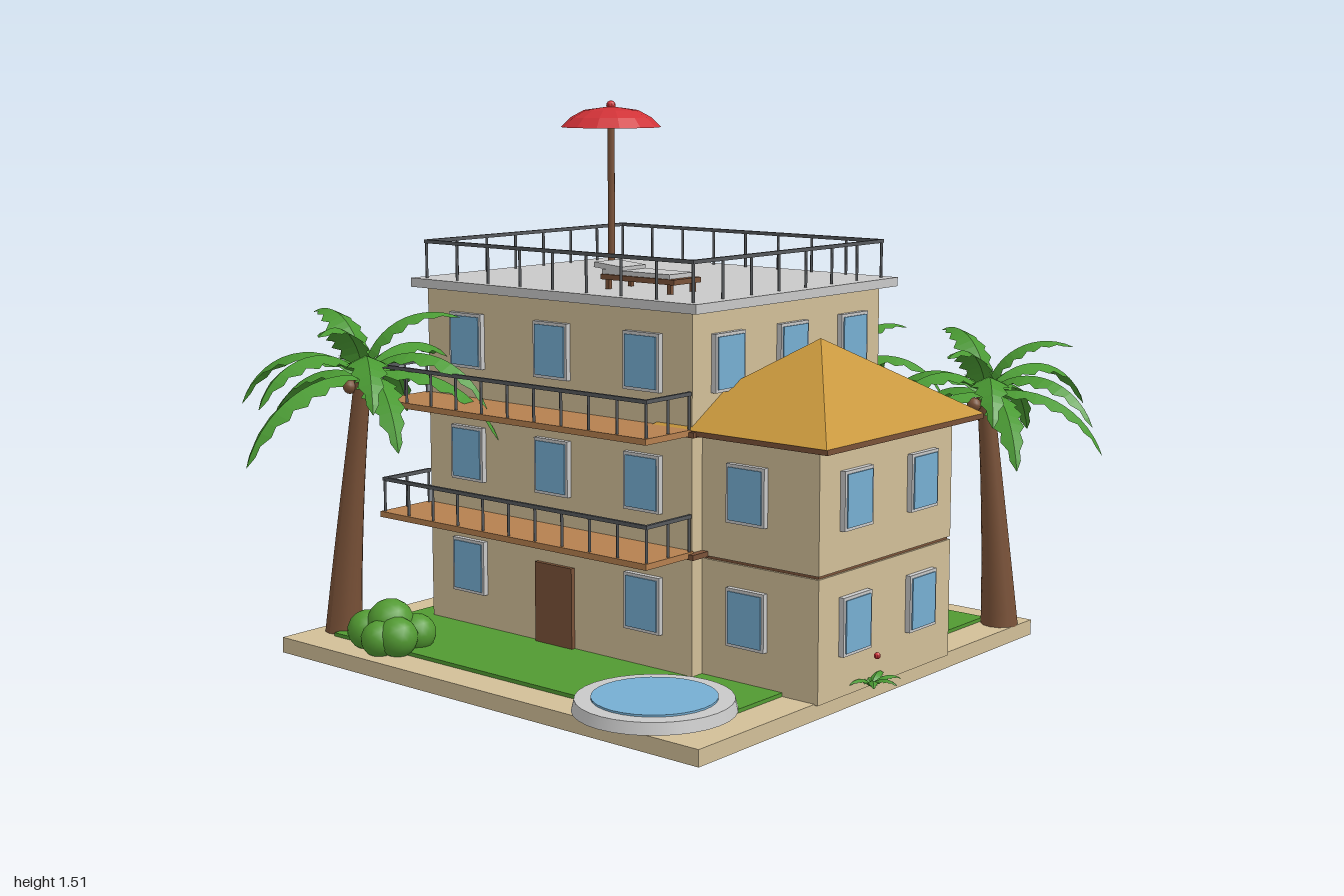
import * as THREE from 'three';

const mat = (name, color, extra = {}) => {
  const m = new THREE.MeshStandardMaterial({ color, ...extra });
  m.name = name;
  return m;
};

export function createModel() {
  const root = new THREE.Group();
  root.name = 'seasideHouse';
  const M = {
    sand: mat('sandWall', 0xd2bf98),
    grey: mat('paleConcrete', 0xc8c8c8),
    gold: mat('goldRoof', 0xc8973c, { flatShading: true }),
    wood: mat('darkWood', 0x7a5238),
    deck: mat('deckWood', 0xb5804f),
    blue: mat('blueGlass', 0x76aed2),
    leaf: mat('palmGreen', 0x4a9a33, { flatShading: true, side: THREE.DoubleSide }),
    lawn: mat('lawnGreen', 0x529a32),
    rail: mat('railMetal', 0x56595c),
    red: mat('parasolRed', 0xd03237, { flatShading: true, side: THREE.DoubleSide }),
  };

  const add = (name, geo, m, x = 0, y = 0, z = 0, parent = root) => {
    const mesh = new THREE.Mesh(geo, m);
    mesh.name = name;
    mesh.position.set(x, y, z);
    parent.add(mesh);
    return mesh;
  };
  // Box given by its min and max on each axis
  const box = (name, m, x0, x1, y0, y1, z0, z1, parent = root) =>
    add(name, new THREE.BoxGeometry(x1 - x0, y1 - y0, z1 - z0), m,
      (x0 + x1) / 2, (y0 + y1) / 2, (z0 + z1) / 2, parent);
  const group = (name, x = 0, y = 0, z = 0) => {
    const g = new THREE.Group();
    g.name = name;
    g.position.set(x, y, z);
    root.add(g);
    return g;
  };

  // Ground
  box('baseSlab', M.sand, -0.77, 0.72, 0.005, 0.048, -0.68, 0.81);
  box('lawn', M.lawn, -0.67, 0.62, 0.045, 0.058, -0.59, 0.71);

  // Storeys of the house and its side wing
  const floorY = [0.05, 0.37, 0.685], floorH = 0.315;
  const body = { x0: -0.6, x1: 0.36, z0: -0.42, z1: 0.4 };
  const wing = { x0: 0.29, x1: 0.73, z0: -0.23, z1: 0.36 };
  floorY.forEach((y) => box('houseStorey', M.sand, body.x0, body.x1, y, y + floorH, body.z0, body.z1));
  box('wingLowerStorey', M.sand, wing.x0, wing.x1, 0.045, 0.364, wing.z0, wing.z1);
  box('wingSeam', M.wood, wing.x0, wing.x1 - 0.006, 0.364, 0.372, wing.z0 + 0.006, wing.z1 - 0.006);
  box('wingUpperStorey', M.sand, wing.x0, wing.x1, 0.372, 0.692, wing.z0, wing.z1);

  // Windows: shallow frame with a thin pane
  const windowAt = (x, y, z, turn) => {
    const g = group('window', x, y, z);
    g.rotation.y = turn;
    add('windowFrame', new THREE.BoxGeometry(0.122, 0.152, 0.03), M.grey, 0, 0, 0, g);
    add('windowPane', new THREE.BoxGeometry(0.106, 0.136, 0.008), M.blue, 0, 0, 0.0145, g);
  };
  const spread = (a, b, n) => Array.from({ length: n }, (_, i) => a + (b - a) * (i + 0.5) / n);
  floorY.forEach((fy, f) => {
    const y = fy + 0.178;
    spread(body.x0, body.x1, 3).forEach((x, i) => {
      if (f > 0 || i !== 1) windowAt(x, y, body.z1, 0);
      windowAt(x, y, body.z0, Math.PI);
    });
    spread(body.z0, body.z1, 3).forEach((z, i) => {
      windowAt(body.x0, y, z, -Math.PI / 2);
      if (f === 2 || i === 0) windowAt(body.x1, y, z, Math.PI / 2);
    });
    if (f < 2) {
      windowAt((wing.x0 + wing.x1) / 2, y, wing.z1, 0);
      windowAt(0.545, y, wing.z0, Math.PI);
      spread(wing.z0, wing.z1, 2).forEach((z) => windowAt(wing.x1, y, z, Math.PI / 2));
    }
  });
  box('door', M.wood, -0.185, -0.05, 0.055, 0.28, 0.39, 0.412);

  // Railing along a path of corner points
  const railing = (name, pts, y, h, step) => {
    const g = group(name);
    const r = 0.0045;
    for (let i = 0; i + 1 < pts.length; i++) {
      const [ax, az] = pts[i], [bx, bz] = pts[i + 1];
      box('handrail', M.rail, Math.min(ax, bx) - r, Math.max(ax, bx) + r, y + h - 0.01, y + h,
        Math.min(az, bz) - r, Math.max(az, bz) + r, g);
      const n = Math.round(Math.hypot(bx - ax, bz - az) / step);
      for (let k = 0; k <= n; k++) {
        add('railPost', new THREE.CylinderGeometry(0.004, 0.004, h, 6), M.rail,
          ax + (bx - ax) * k / n, y + h / 2, az + (bz - az) * k / n, g);
      }
    }
  };

  // Ledges and balconies
  [0.37, 0.685].forEach((y) => {
    box('ledge', M.wood, -0.62, 0.38, y, y + 0.014, -0.44, 0.42);
    box('balconyDeck', M.deck, -0.61, 0.365, y + 0.003, y + 0.019, 0.4, 0.585);
    railing('balconyRailing', [[-0.6, 0.41], [-0.6, 0.575], [0.358, 0.575], [0.358, 0.41]], y + 0.015, 0.1, 0.095);
  });

  // Roof terrace
  box('roofSlab', M.grey, -0.637, 0.397, 1, 1.025, -0.457, 0.43);
  railing('roofRailing', [[-0.603, 0.4], [0.363, 0.4], [0.363, -0.424], [-0.603, -0.424], [-0.603, 0.4]], 1.02, 0.112, 0.12);

  // Wing roof: pyramid over a dark eave
  box('wingEave', M.wood, 0.24, 0.788, 0.688, 0.702, -0.29, 0.41);
  const pyramid = new THREE.ConeGeometry(Math.SQRT1_2, 0.212, 4, 1);
  pyramid.rotateY(Math.PI / 4);
  pyramid.scale(0.556, 1, 0.706);
  add('wingRoof', pyramid, M.gold, 0.51, 0.808, 0.06);

  // Parasol
  const parasol = group('parasol', -0.215, 0, 0.06);
  add('parasolPole', new THREE.CylinderGeometry(0.01, 0.01, 0.46, 10), M.wood, 0, 1.25, 0, parasol);
  const canopy = [[0.14, 1.443], [0.112, 1.47], [0.075, 1.49], [0.002, 1.5]].map((p) => new THREE.Vector2(...p));
  add('parasolCanopy', new THREE.LatheGeometry(canopy, 14), M.red, 0, 0, 0, parasol);
  add('parasolKnob', new THREE.SphereGeometry(0.013, 10, 8), M.red, 0, 1.503, 0, parasol);

  // Sun lounger
  const lounger = group('sunLounger');
  box('loungerFrame', M.wood, -0.04, 0.215, 1.05, 1.064, 0.19, 0.3, lounger);
  box('loungerCushion', M.grey, -0.04, 0.195, 1.062, 1.076, 0.197, 0.293, lounger);
  box('loungerHeadrest', M.grey, -0.07, 0.03, 1.076, 1.09, 0.197, 0.293, lounger).rotation.z = -0.08;
  [-0.02, 0.195].forEach((x) => [0.2, 0.29].forEach((z) =>
    box('loungerLeg', M.wood, x - 0.006, x + 0.006, 1.02, 1.055, z - 0.006, z + 0.006, lounger)));

  // Pool
  add('poolRim', new THREE.CylinderGeometry(0.198, 0.205, 0.03, 32), M.grey, 0.457, 0.07, 0.66);
  add('poolWater', new THREE.CylinderGeometry(0.157, 0.157, 0.008, 32), M.blue, 0.457, 0.086, 0.66);

  // Round bush
  const bush = group('bush', -0.46, 0.05, 0.69);
  [[0, 0.07, 0, 0.065], [-0.06, 0.045, 0.03, 0.055], [0.06, 0.045, 0.03, 0.055], [0.02, 0.04, 0.06, 0.05],
    [-0.04, 0.045, -0.05, 0.055], [0.05, 0.04, -0.05, 0.052]].forEach(([x, y, z, r]) =>
    add('bushClump', new THREE.IcosahedronGeometry(r, 2), M.lawn, x, y, z, bush));

  // Drooping leaf ribbon with jagged edges, growing along +x
  const frondGeometry = (e0, e1, length, halfWidth) => {
    const n = 14, pos = [], idx = [];
    let x = 0, y = 0;
    for (let i = 0; i <= n; i++) {
      const t = i / n, e = e0 + (e1 - e0) * t;
      const w = i === n ? 0.001 : halfWidth * (0.12 + 0.88 * Math.sin(Math.PI * Math.pow(t, 0.8))) * (i % 2 ? 1 : 0.68);
      const d = 0.45 * w;
      [-w, 0, w].forEach((s) => pos.push(x - (s ? d * Math.sin(e) * -1 : 0), y - (s ? d * Math.cos(e) : 0), s));
      x += Math.cos(e) * length / n;
      y += Math.sin(e) * length / n;
      if (i < n) for (let k = 0; k < 2; k++) {
        const a = i * 3 + k;
        idx.push(a, a + 1, a + 3, a + 1, a + 4, a + 3);
      }
    }
    const g = new THREE.BufferGeometry();
    g.setAttribute('position', new THREE.Float32BufferAttribute(pos, 3));
    g.setIndex(idx);
    g.computeVertexNormals();
    return g;
  };

  // Palms: bent tapering trunk, three tiers of fronds, coconuts
  const tiers = [[3, 1.4, -0.5, 0.34, 0.6], [6, 0.75, -1.3, 0.42, 0.1], [5, 0.25, -1.3, 0.43, 0.5]];
  const palm = (bx, bz, tx, ty, tz, size, turn) => {
    const g = group('palm');
    const base = new THREE.Vector3(bx, 0.045, bz), top = new THREE.Vector3(tx, ty, tz);
    const bend = new THREE.Vector3(bx + (tx - bx) * 0.35, ty * 0.5, bz + (tz - bz) * 0.35);
    const curve = new THREE.QuadraticBezierCurve3(base, bend, top);
    const trunk = new THREE.TubeGeometry(curve, 16, 1, 12);
    const p = trunk.attributes.position, v = new THREE.Vector3();
    for (let i = 0; i < p.count; i++) {
      const t = Math.floor(i / 13) / 16, c = curve.getPointAt(t);
      v.fromBufferAttribute(p, i).sub(c).multiplyScalar(0.024 + 0.028 * Math.pow(1 - t, 1.4)).add(c);
      p.setXYZ(i, v.x, v.y, v.z);
    }
    trunk.computeVertexNormals();
    add('palmTrunk', trunk, M.wood, 0, 0, 0, g);
    add('palmHeart', new THREE.SphereGeometry(0.026, 10, 8), M.wood, tx, ty, tz, g);
    tiers.forEach(([count, e0, e1, len, shift]) => {
      for (let i = 0; i < count; i++) {
        const vary = 1 + 0.07 * Math.sin(i * 2.3 + turn * 3);
        const f = add('palmFrond', frondGeometry(e0 + 0.1 * Math.sin(i * 1.7), e1, len * size * vary, 0.058 * size),
          M.leaf, tx, ty + 0.01, tz, g);
        f.rotation.y = turn + shift + i * Math.PI * 2 / count;
      }
    });
    for (let i = 0; i < 3; i++) {
      const a = turn + i * 2.1;
      add('coconut', new THREE.SphereGeometry(0.02, 10, 8), M.wood,
        tx + 0.035 * Math.cos(a), ty - 0.02, tz + 0.035 * Math.sin(a), g);
    }
  };
  palm(-0.7, 0.65, -0.585, 0.77, 0.66, 1.0, 0.3);
  palm(-0.7, -0.6, -0.635, 0.69, -0.58, 0.92, 1.1);
  palm(0.0, -0.67, 0.0, 0.67, -0.73, 0.87, 0.5);
  palm(0.67, -0.59, 0.64, 0.7, -0.54, 0.93, 0.0);

  // Small leafy plant with a red bud beside the wing
  const plant = group('smallPlant', 0.745, 0.05, 0.15);
  for (let i = 0; i < 7; i++) {
    add('plantLeaf', frondGeometry(1.0, -0.7, 0.09, 0.018), M.leaf, 0, 0, 0, plant).rotation.y = i * 0.9;
  }
  add('plantBud', new THREE.SphereGeometry(0.009, 8, 6), M.red, 0.01, 0.08, -0.01, plant);

  return root;
}
